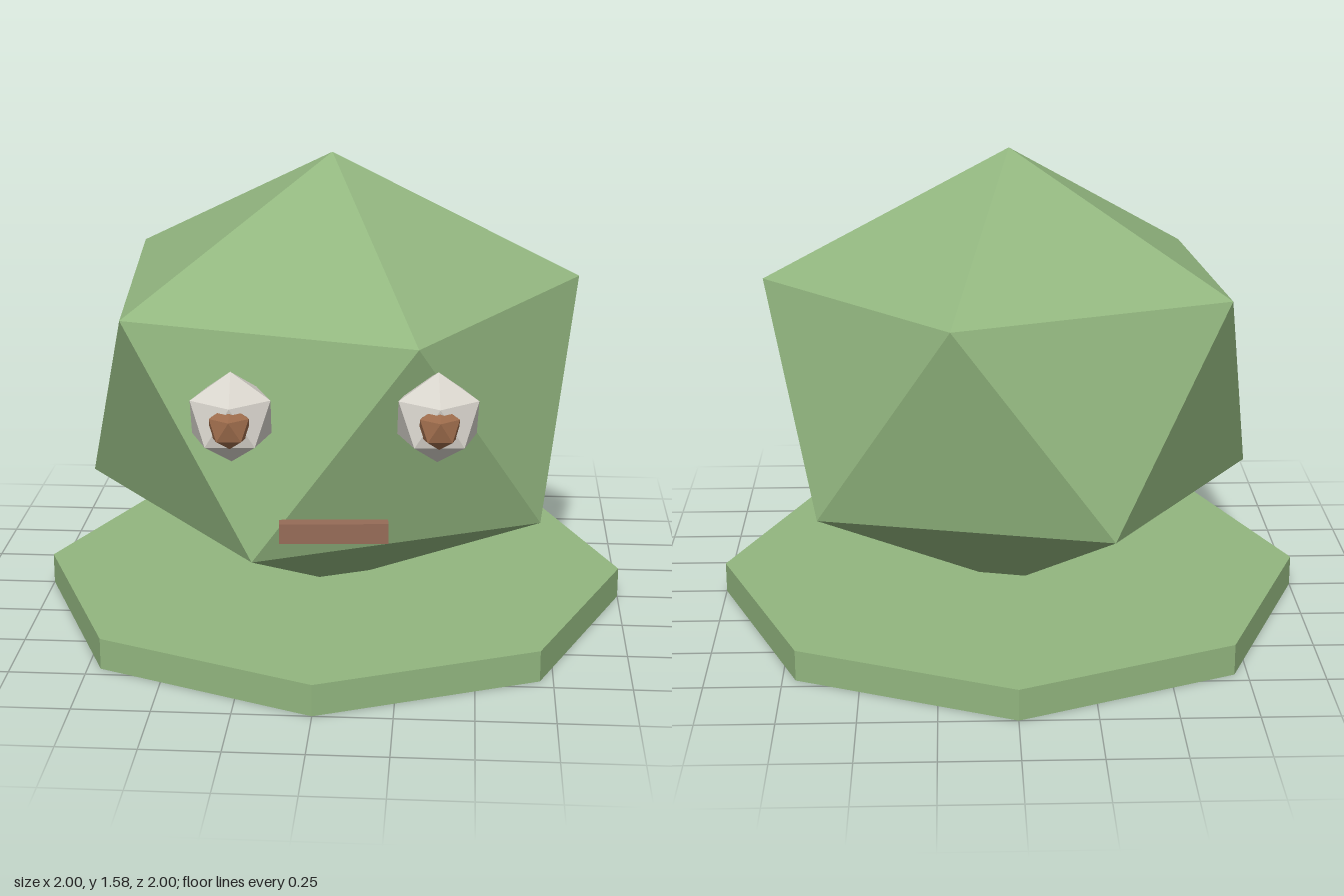
import * as THREE from 'three';
import { ConvexGeometry } from 'three/addons/geometries/ConvexGeometry.js';

const mat = (name, color) => Object.assign(new THREE.MeshStandardMaterial({ color, flatShading: true }), { name });

// Twenty-sided ball with a corner at the top and one upper-ring corner at the given yaw
function icoBall(radius, yawDeg) {
  const pts = [];
  for (const s of [1, -1]) {
    pts.push(new THREE.Vector3(0, s * radius, 0));
    for (let i = 0; i < 5; i++) {
      const a = THREE.MathUtils.degToRad(yawDeg + i * 72 + (s < 0 ? 36 : 0));
      const r = radius * 2 / Math.sqrt(5);
      pts.push(new THREE.Vector3(Math.sin(a) * r, s * radius / Math.sqrt(5), Math.cos(a) * r));
    }
  }
  return new ConvexGeometry(pts);
}

export function createModel() {
  const group = new THREE.Group();
  const green = mat('leaf green', 0x92b67f);
  const white = mat('eye white', 0xd9d5cd);
  const brown = mat('pupil brown', 0x9c6b4b);
  const lip = mat('mouth brown', 0x966c57);

  const add = (name, geometry, material, x, y, z) => {
    const mesh = new THREE.Mesh(geometry, material);
    mesh.name = name;
    mesh.position.set(x, y, z);
    group.add(mesh);
    return mesh;
  };

  // Octagonal base slab
  add('base', new THREE.CylinderGeometry(1, 1, 0.105, 8), green, 0, 0.0525, 0);

  // Faceted body, squashed and leaning slightly forward
  const body = icoBall(1, 22).scale(0.928, 0.775, 0.928).rotateX(0.04);
  add('body', body, green, 0, 0.803, 0.018);

  // Eyes and pupils, turned a little to the left with the face
  for (const [side, x, z] of [['left', 0.37, 0.785], ['right', -0.257, 0.82]]) {
    add(side + 'Eye', icoBall(0.143, 4), white, x, 0.903, z);
    add(side + 'Pupil', icoBall(0.07, 4), brown, x + 0.006, 0.902, z + 0.095);
  }

  // Straight mouth bar
  add('mouth', new THREE.BoxGeometry(0.332, 0.064, 0.04), lip, 0.06, 0.564, 0.887).rotation.y = 0.075;

  return group;
}
